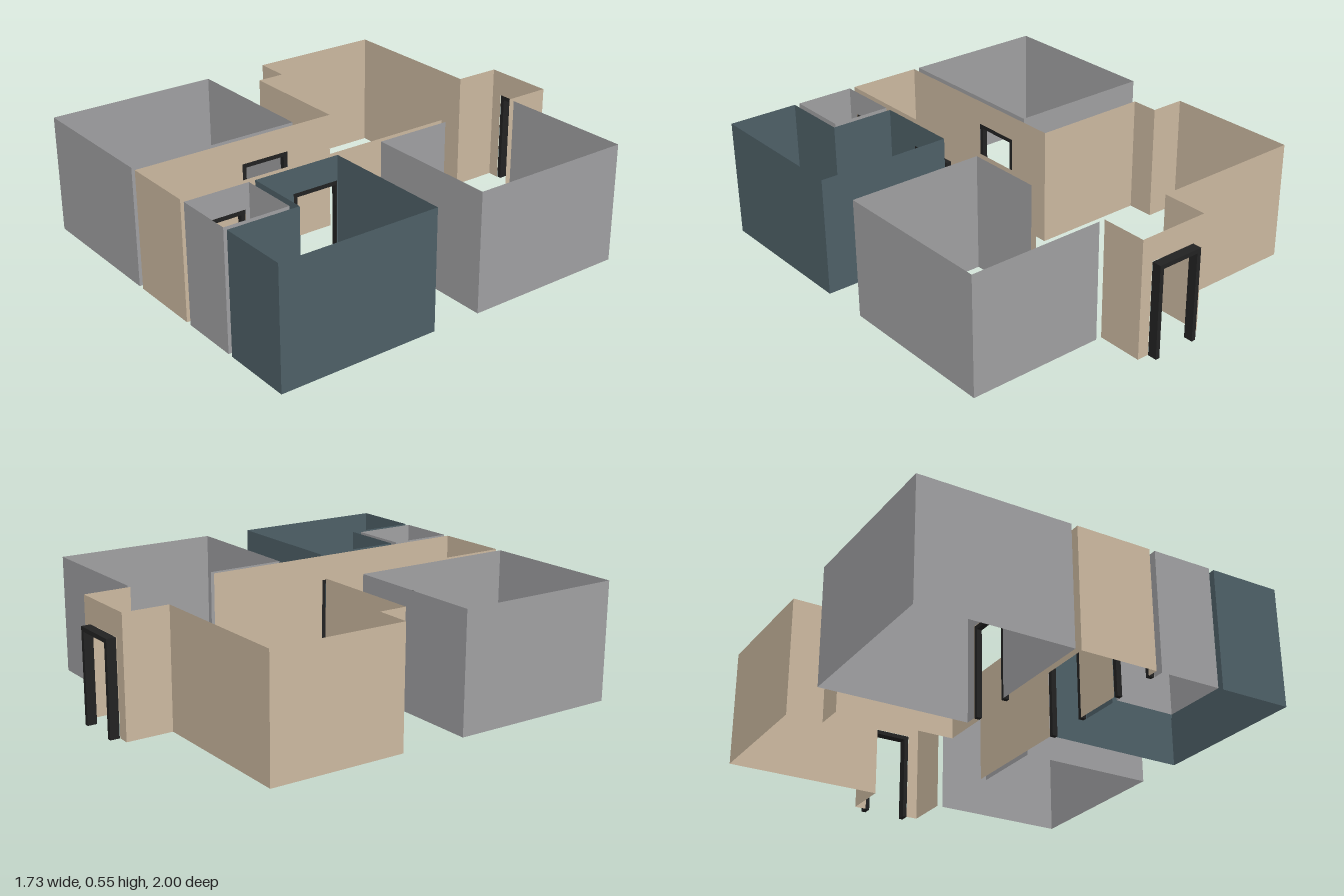
import * as THREE from 'three';

const WALL_H = 0.545, DOOR_H = 0.43;

function material(name, color, side = THREE.FrontSide) {
  const m = new THREE.MeshStandardMaterial({ color, side });
  m.name = name;
  return m;
}

// Flat wall between two plan points [x, z]; door = [start, end] measured along it
function wall(a, b, mat, door) {
  const dx = b[0] - a[0], dz = b[1] - a[1], len = Math.hypot(dx, dz);
  const s = new THREE.Shape();
  s.moveTo(0, 0);
  if (door) {
    s.lineTo(door[0], 0);
    s.lineTo(door[0], DOOR_H);
    s.lineTo(door[1], DOOR_H);
    s.lineTo(door[1], 0);
  }
  s.lineTo(len, 0);
  s.lineTo(len, WALL_H);
  s.lineTo(0, WALL_H);
  const mesh = new THREE.Mesh(new THREE.ShapeGeometry(s), mat);
  mesh.name = 'wall';
  mesh.position.set(a[0], 0, a[1]);
  mesh.rotation.y = -Math.atan2(dz, dx);
  return mesh;
}

// Open chain of walls; doors maps a wall index to its opening
function room(name, points, mat, doors = {}) {
  const g = new THREE.Group();
  g.name = name;
  for (let i = 0; i < points.length - 1; i++) g.add(wall(points[i], points[i + 1], mat, doors[i]));
  return g;
}

// Door frame: two jambs and a head, built along x around its centre
function doorFrame(name, width, depth, x, z, turn, mat) {
  const t = 0.02, g = new THREE.Group();
  g.name = name;
  for (const side of [-1, 1]) {
    const jamb = new THREE.Mesh(new THREE.BoxGeometry(t, DOOR_H, depth), mat);
    jamb.name = 'jamb';
    jamb.position.set(side * (width - t) / 2, DOOR_H / 2, 0);
    g.add(jamb);
  }
  const head = new THREE.Mesh(new THREE.BoxGeometry(width - 2 * t, t, depth), mat);
  head.name = 'head';
  head.position.y = DOOR_H - t / 2;
  g.add(head);
  g.position.set(x, 0, z);
  g.rotation.y = turn;
  return g;
}

export function createModel() {
  const model = new THREE.Group();
  model.name = 'floorPlan';
  const beige = material('beige wall', 0xccb9a0, THREE.DoubleSide);
  const grey = material('grey wall', 0xa0a0a2, THREE.DoubleSide);
  const teal = material('teal wall', 0x4e6067, THREE.DoubleSide);
  const black = material('black frame', 0x222222);

  // Living room, hallway and entrance
  model.add(room('livingRoomAndHall', [
    [0.2, -0.33], [0.2, 0.6], [0.2, 1], [-0.15, 1], [-0.15, 0.02], [-0.7, 0.02], [-0.7, -0.11],
    [-0.865, -0.11], [-0.865, -0.74], [-0.135, -0.74], [-0.135, -0.955], [0.2, -0.955], [0.2, -0.74],
  ], beige, { 0: [0.58, 0.815], 1: [0.12, 0.35], 3: [0.515, 0.75], 10: [0.055, 0.28] }));

  // Front left bedroom
  model.add(room('frontBedroom', [
    [-0.178, 0.2], [-0.178, 1], [-0.865, 1], [-0.865, 0.2], [-0.178, 0.2],
  ], grey, { 0: [0.05, 0.285] }));

  // Back right room, open to the hall
  model.add(room('backRoom', [
    [0.227, -0.33], [0.227, 0.03], [0.86, 0.03], [0.86, -0.74], [0.227, -0.74],
  ], grey));

  // Small closet
  model.add(room('closet', [
    [0.227, 0.7], [0.227, 1], [0.505, 1], [0.505, 0.7], [0.227, 0.7],
  ], grey, { 0: [0.02, 0.25] }));

  // L-shaped bathroom wrapped round the closet
  model.add(room('bathroom', [
    [0.227, 0.26], [0.227, 0.67], [0.53, 0.67], [0.53, 1], [0.86, 1], [0.86, 0.26], [0.227, 0.26],
  ], teal, { 0: [0.005, 0.225] }));

  // Door frames
  const q = Math.PI / 2;
  model.add(doorFrame('entranceFrame', 0.225, 0.043, 0.033, -0.9785, 0, black));
  model.add(doorFrame('bedroomFrame', 0.235, 0.024, -0.163, 0.3675, q, black));
  model.add(doorFrame('bathroomFrame', 0.235, 0.024, 0.2135, 0.3675, q, black));
  model.add(doorFrame('closetFrame', 0.23, 0.024, 0.2135, 0.835, q, black));
  return model;
}
